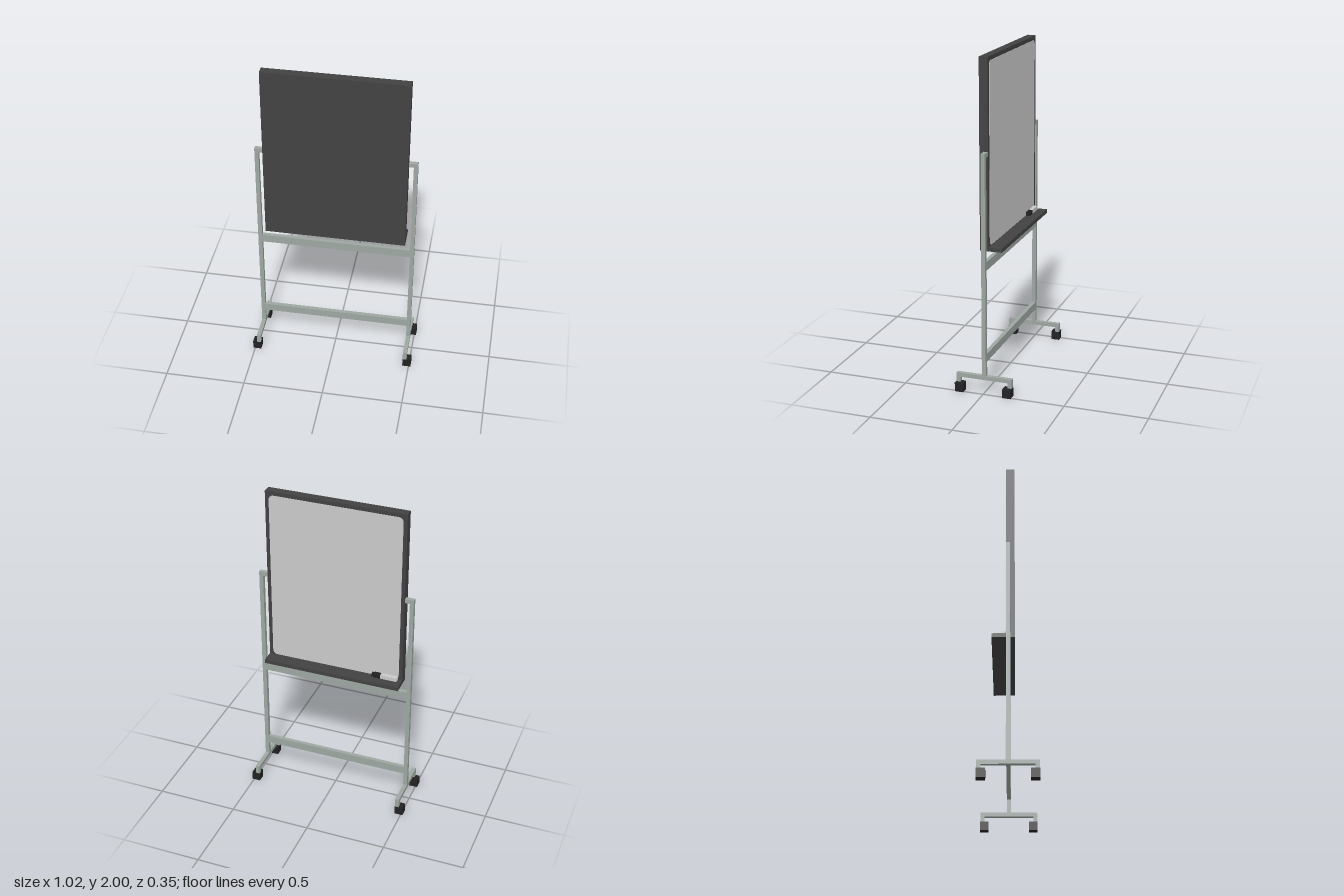
import * as THREE from 'three';

export function createModel() {
  const model = new THREE.Group();
  model.name = 'mobileBoard';

  const material = (name, color) => {
    const m = new THREE.MeshStandardMaterial({ color });
    m.name = name;
    return m;
  };
  const metal = material('greyMetal', 0x9ea7a2);
  const charcoal = material('charcoal', 0x424242);
  const black = material('blackRubber', 0x222222);
  const white = material('boardWhite', 0xcacaca);

  // Box given by its lower and upper corners
  const box = (name, mat, [x0, y0, z0], [x1, y1, z1], parent = model) => {
    const mesh = new THREE.Mesh(new THREE.BoxGeometry(x1 - x0, y1 - y0, z1 - z0), mat);
    mesh.position.set((x0 + x1) / 2, (y0 + y1) / 2, (z0 + z1) / 2);
    mesh.name = name;
    parent.add(mesh);
    return mesh;
  };
  // Box given by its centre and size
  const block = (name, mat, [x, y, z], [w, h, d], parent) =>
    box(name, mat, [x - w / 2, y - h / 2, z - d / 2], [x + w / 2, y + h / 2, z + d / 2], parent);

  // Board panel and the tray along its writing side
  const W = 0.431;
  box('board', charcoal, [-W, 0.87, -0.013], [W, 2, 0.039]);
  box('tray', charcoal, [-W, 0.87, -0.095], [W, 0.894, -0.013]);

  // Writing surface with rounded corners
  const hw = 0.408, y0 = 0.897, y1 = 1.976, r = 0.03;
  const outline = new THREE.Shape();
  outline.absarc(hw - r, y1 - r, r, 0, Math.PI / 2);
  outline.absarc(-hw + r, y1 - r, r, Math.PI / 2, Math.PI);
  outline.absarc(-hw + r, y0 + r, r, Math.PI, Math.PI * 1.5);
  outline.absarc(hw - r, y0 + r, r, Math.PI * 1.5, Math.PI * 2);
  const surface = new THREE.Mesh(
    new THREE.ExtrudeGeometry(outline, { depth: 0.003, bevelEnabled: false, curveSegments: 6 }), white);
  surface.position.z = -0.015;
  surface.name = 'writingSurface';
  model.add(surface);

  // Marker lying on the tray
  const marker = new THREE.Group();
  marker.name = 'marker';
  model.add(marker);
  block('markerEnd', white, [-0.403, 0.907, -0.027], [0.006, 0.018, 0.018], marker);
  block('markerBody', white, [-0.35, 0.907, -0.028], [0.1, 0.025, 0.025], marker);
  block('markerCap', black, [-0.279, 0.907, -0.028], [0.042, 0.026, 0.026], marker);
  block('markerCapTip', black, [-0.251, 0.907, -0.028], [0.014, 0.022, 0.022], marker);

  // Cross rails between the posts
  box('upperRail', metal, [-0.461, 0.762, -0.012], [0.461, 0.814, 0.012]);
  box('lowerRail', metal, [-0.461, 0.195, -0.012], [0.461, 0.245, 0.012]);

  // Side frames: post, pivot arm, foot bar and casters
  for (const s of [-1, 1]) {
    const side = new THREE.Group();
    side.name = s > 0 ? 'leftSideFrame' : 'rightSideFrame';
    model.add(side);
    block('post', metal, [s * 0.473, 0.785, 0], [0.025, 1.35, 0.025], side);
    block('pivotArm', metal, [s * 0.445, 1.447, 0], [0.032, 0.026, 0.025], side);
    block('footBar', metal, [s * 0.473, 0.098, 0], [0.025, 0.025, 0.346], side);
    for (const f of [-1, 1]) {
      block('casterStem', metal, [s * 0.473, 0.07, f * 0.161], [0.025, 0.034, 0.024], side);
      block('caster', black, [s * 0.486, 0.027, f * 0.149], [0.052, 0.054, 0.052], side);
    }
  }
  return model;
}
